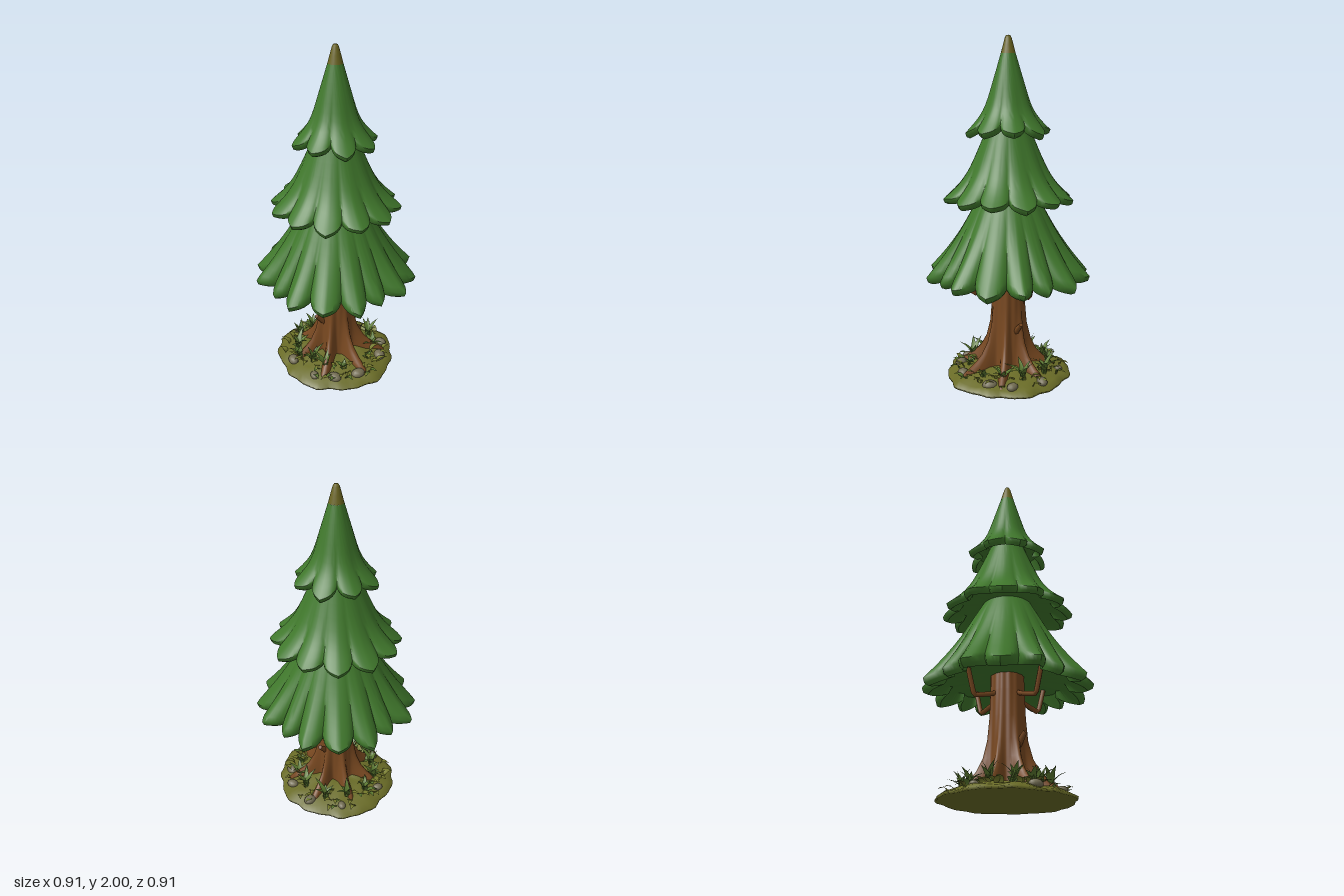
import * as THREE from 'three';
import { toCreasedNormals } from 'three/addons/utils/BufferGeometryUtils.js';

const mat = (name, color, side = THREE.FrontSide) => {
  const m = new THREE.MeshStandardMaterial({ color, side });
  m.name = name;
  return m;
};

// Small seeded random generator
function seeded(seed) {
  return () => {
    seed = (seed * 16807) % 2147483647;
    return seed / 2147483647;
  };
}

// Closed-around surface: ring(row, angle) gives [radius, y]; rows run from the top down
function ringSurface(rows, segs, ring) {
  const pos = [], index = [];
  for (let i = 0; i < rows; i++) {
    for (let j = 0; j < segs; j++) {
      const a = (j / segs) * Math.PI * 2;
      const [r, y, turn = 0] = ring(i, a);
      pos.push(r * Math.sin(a + turn), y, r * Math.cos(a + turn));
      if (i === rows - 1) continue;
      const k = (j + 1) % segs;
      const p = i * segs + j, q = p + segs, s = (i + 1) * segs + k, t = i * segs + k;
      index.push(p, q, s, p, s, t);
    }
  }
  const g = new THREE.BufferGeometry();
  g.setAttribute('position', new THREE.Float32BufferAttribute(pos, 3));
  g.setIndex(index);
  g.computeVertexNormals();
  return g;
}

// Skirt of pointed leaves: pleated outside, thick hem, shallow hollow underside
function skirt({ profile, lobes, offset, depth, lift, thick, warp }) {
  const curve = new THREE.SplineCurve(profile.map(([r, y]) => new THREE.Vector2(r, y)));
  const outer = 13;
  const end = profile[profile.length - 1];
  const geo = ringSurface(outer + 4, lobes * 12, (i, a) => {
    const f = (a - offset) * lobes / (Math.PI * 2);
    const leaf = Math.round(f);
    const p = Math.abs(f - leaf) * 2;
    // Pointed tip with broad shoulders and a sharp notch
    const e = 0.55 * p + 0.45 * p ** 4;
    const t = Math.min(i / (outer - 1), 1);
    const turn = warp ? -0.044 * Math.sin(4 * a) : 0;
    const size = warp ? 1 - 0.08 * t * t * Math.max(0, Math.cos(4 * a)) : 1;
    const drop = 0.01 * Math.sin((leaf % lobes) * 2.4) * (1 - p);
    if (i < outer) {
      const c = curve.getPoint(t);
      const wave = 0.008 * Math.sin(3 * a + 1) * t * (1 - t);
      return [c.x * size * (1 - depth * e * t * t) + wave, c.y + (lift * e + drop) * t ** 3, turn];
    }
    const hemR = end[0] * size * (1 - depth * e), hemY = end[1] + lift * e + drop;
    if (i === outer) return [hemR - thick * 0.25, hemY - thick * 0.7, turn];
    if (i === outer + 1) return [hemR - thick * 0.9, hemY - thick, turn];
    if (i === outer + 2) return [end[0] * 0.74 * (1 - depth * 0.4 * e), end[1] + 0.04, turn];
    return [0.08, end[1] + 0.06, turn];
  });
  return toCreasedNormals(geo, 0.9);
}

export function createModel() {
  const tree = new THREE.Group();
  tree.name = 'pineTree';
  const rand = seeded(77);
  const green = mat('needleGreen', 0x40782c);
  const tipBrown = mat('tipOlive', 0x6a6420);
  const bark = mat('barkBrown', 0x784820);
  const moss = mat('mossOlive', 0x6a6c27);
  const mossLight = mat('mossLight', 0x767b2c, THREE.DoubleSide);
  const grassMat = mat('grassGreen', 0x5c7a30, THREE.DoubleSide);
  const stone = mat('stoneGrey', 0x746e54);

  const add = (name, geo, material, parent = tree) => {
    const m = new THREE.Mesh(geo, material);
    m.name = name;
    parent.add(m);
    return m;
  };

  // Three foliage tiers
  add('lowerFoliage', skirt({
    profile: [[0.11, 1.2], [0.19, 1.06], [0.282, 0.9], [0.38, 0.76], [0.485, 0.635]],
    lobes: 16, offset: 0, depth: 0.2, lift: 0.04, thick: 0.04, warp: true,
  }), green);
  add('middleFoliage', skirt({
    profile: [[0.08, 1.6], [0.135, 1.46], [0.222, 1.27], [0.295, 1.165], [0.382, 1.085]],
    lobes: 12, offset: Math.PI / 12, depth: 0.2, lift: 0.035, thick: 0.03,
  }), green);
  add('upperFoliage', skirt({
    profile: [[0.042, 1.9], [0.084, 1.76], [0.13, 1.62], [0.178, 1.54], [0.245, 1.468]],
    lobes: 8, offset: Math.PI / 8, depth: 0.28, lift: 0.045, thick: 0.03,
  }), green);
  const cap = [[0.042, 1.9], [0.03, 1.945], [0.019, 1.985], [0.012, 1.998], [0, 2]];
  // Lathe profiles run from the bottom up so the faces point outward
  add('treeTip', new THREE.LatheGeometry(cap.map(([r, y]) => new THREE.Vector2(r, y)), 20), tipBrown);

  // Trunk flaring into seven roots: height, core radius, root reach
  const trunkRows = [
    [0.8, 0.09, 0], [0.6, 0.093, 0.004], [0.45, 0.095, 0.007], [0.32, 0.099, 0.016],
    [0.22, 0.104, 0.04], [0.15, 0.108, 0.078], [0.11, 0.111, 0.118], [0.08, 0.113, 0.16],
    [0.055, 0.115, 0.195], [0.01, 0.118, 0.23],
  ];
  add('trunk', ringSurface(trunkRows.length, 98, (i, a) => {
    const [y, r, reach] = trunkRows[i];
    const lobe = Math.pow((1 + Math.cos(7 * a)) / 2, 2.2);
    const vary = 0.88 + 0.1 * Math.cos(a);
    return [r + reach * lobe * vary + 0.002 * Math.sin(14 * a), y];
  }), bark);

  // Four bent branches under the foliage
  const bend = [[0.07, 0.59], [0.12, 0.57], [0.225, 0.54], [0.24, 0.56], [0.28, 0.69]]
    .map(([x, y]) => new THREE.Vector3(x, y, 0));
  for (let i = 0; i < 4; i++) {
    const curve = new THREE.CatmullRomCurve3(bend, false, 'catmullrom', 0.2);
    add('branch', new THREE.TubeGeometry(curve, 18, 0.014, 7), bark).rotation.y = i * Math.PI / 2;
  }

  // Broken stubs on both sides
  for (const s of [-1, 1]) {
    const stub = add('branchStub', new THREE.CylinderGeometry(0.013, 0.022, 0.11, 7), bark);
    stub.position.set(s * 0.108, 0.31, 0);
    stub.rotation.z = -s * 0.75;
  }

  // Mossy mound
  const mound = [[0, 0.09], [0.12, 0.082], [0.2, 0.066], [0.27, 0.05], [0.33, 0.033], [0.365, 0.014], [0.362, 0], [0, 0]];
  add('ground', ringSurface(mound.length, 72, (i, a) => {
    const [r, y] = mound[i];
    const edge = 1 + 0.02 * Math.sin(5 * a + 1) + 0.018 * Math.sin(11 * a) + 0.012 * Math.sin(19 * a) + 0.015 * Math.cos(2 * a);
    const bump = i > 0 && i < 5 ? 0.007 * Math.sin(9 * a + i * 2) : 0;
    return [r * edge, y + bump];
  }), moss);

  // Pointed blade, bent outward along +z
  function blade(length, width, lean) {
    const g = new THREE.PlaneGeometry(width, length, 2, 4);
    const p = g.attributes.position;
    for (let i = 0; i < p.count; i++) {
      const t = p.getY(i) / length + 0.5;
      const w = Math.min(1, 0.6 + t) * (1 - t ** 2);
      const x = p.getX(i) * w;
      p.setXYZ(i, x, length * t * Math.cos(lean * t), length * t * Math.sin(lean * t) - Math.abs(x) * 0.3);
    }
    g.computeVertexNormals();
    return g;
  }

  // Grass tufts: angle in degrees (0 = front), distance, height
  const tufts = [
    [-52, 0.23, 0.14], [-78, 0.21, 0.15], [-100, 0.25, 0.1], [52, 0.24, 0.12], [80, 0.24, 0.14], [118, 0.25, 0.14],
    [150, 0.24, 0.13], [180, 0.25, 0.11], [208, 0.25, 0.13], [238, 0.24, 0.14], [22, 0.24, 0.07], [-24, 0.23, 0.08],
  ];
  for (const [deg, dist, height] of tufts) {
    const tuft = new THREE.Group();
    tuft.name = 'grassTuft';
    const a = deg * Math.PI / 180;
    tuft.position.set(Math.sin(a) * dist, 0.045, Math.cos(a) * dist);
    for (let i = 0; i < 6; i++) {
      const b = add('grassBlade', blade(height * (0.65 + 0.45 * rand()), 0.044, 0.3 + 0.6 * rand()), grassMat, tuft);
      b.rotation.y = i * Math.PI / 3 + rand() * 0.5;
    }
    tree.add(tuft);
  }

  // Low moss leaves scattered over the mound
  for (let i = 0; i < 80; i++) {
    const a = rand() * Math.PI * 2, d = 0.19 + 0.13 * rand();
    const leaf = add('mossLeaf', blade(0.04 + 0.03 * rand(), 0.04, 1.2), i % 4 ? mossLight : grassMat);
    leaf.position.set(Math.sin(a) * d, 0.068 - (d - 0.18) * 0.22, Math.cos(a) * d);
    leaf.rotation.y = a + (rand() - 0.5) * 1.8;
  }

  // Stones: angle in degrees, distance, radius
  const stones = [
    [-38, 0.29, 0.038], [-62, 0.3, 0.028], [-8, 0.29, 0.038], [38, 0.29, 0.038],
    [64, 0.3, 0.032], [100, 0.3, 0.034], [140, 0.3, 0.026], [196, 0.3, 0.028], [258, 0.29, 0.036],
  ];
  for (const [deg, dist, r] of stones) {
    const a = deg * Math.PI / 180;
    const s = add('stone', new THREE.SphereGeometry(r, 12, 8), stone);
    s.position.set(Math.sin(a) * dist, 0.043, Math.cos(a) * dist);
    s.scale.set(1.15, 0.75, 0.9);
    s.rotation.y = a * 1.7;
  }

  return tree;
}
